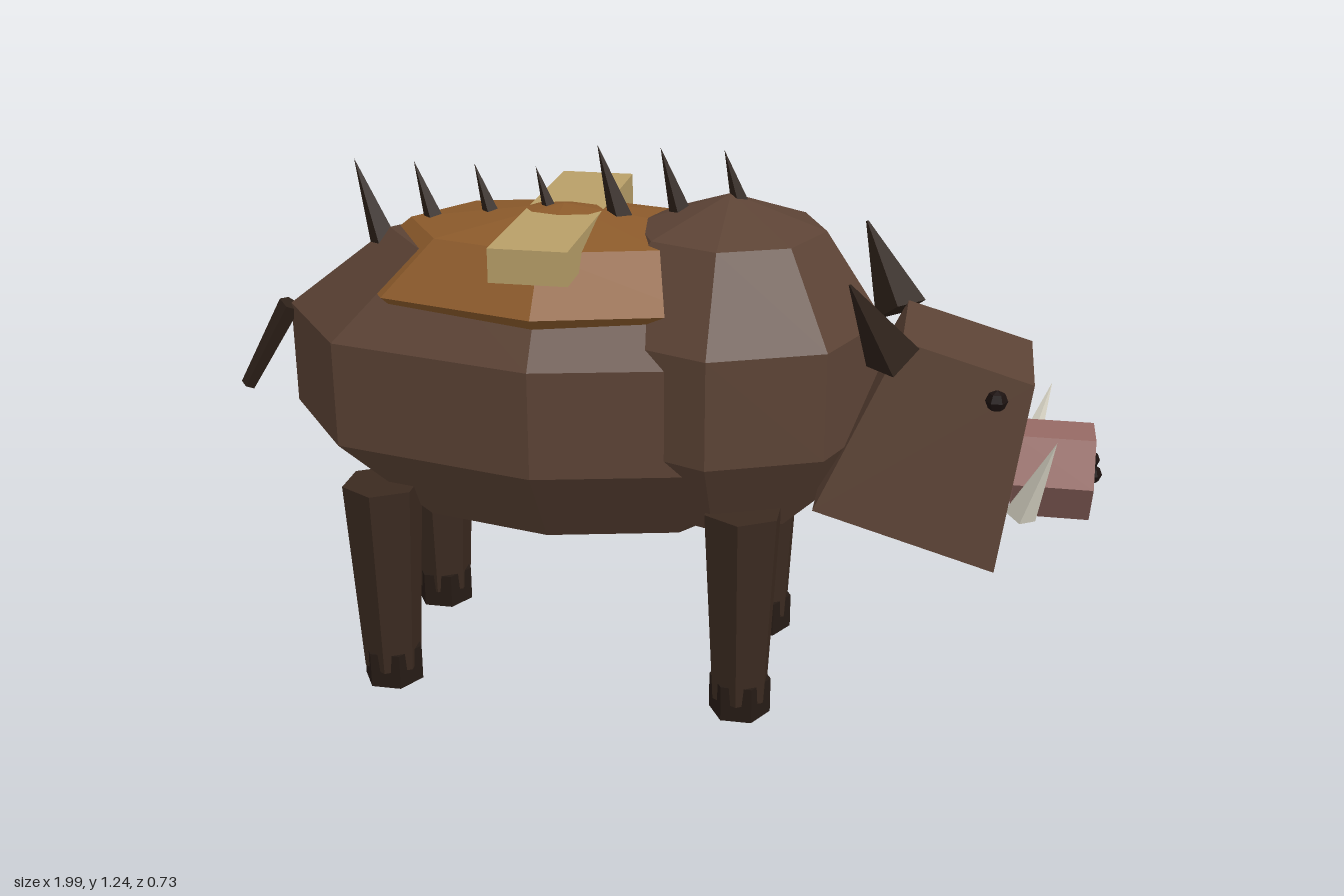
import * as THREE from 'three';

const mat = (name, color) => {
  const m = new THREE.MeshStandardMaterial({ color });
  m.name = name;
  return m;
};

export function createModel() {
  const group = new THREE.Group();
  const hide = mat('hide brown', 0x5c4335);
  const legBrown = mat('leg brown', 0x3b2a20);
  const bristleBrown = mat('bristle brown', 0x2e2119);
  const hoofBrown = mat('hoof brown', 0x261b15);
  const leather = mat('saddle leather', 0x8b5a2b);
  const cloth = mat('strap tan', 0xb89f68);
  const pink = mat('snout pink', 0x966a64);
  const ivory = mat('tusk ivory', 0xdcd8c8);
  const dark = mat('eye dark', 0x1c1210);

  // Adds a faceted mesh
  const add = (name, geometry, material, x, y, z) => {
    const flat = geometry.index ? geometry.toNonIndexed() : geometry;
    flat.computeVertexNormals();
    const mesh = new THREE.Mesh(flat, material);
    mesh.name = name;
    mesh.position.set(x, y, z);
    group.add(mesh);
    return mesh;
  };
  const ball = (rx, ry, rz, rows) => new THREE.SphereGeometry(1, 8, rows).scale(rx, ry, rz);

  // Tapered rod from a to b
  const rod = (name, material, a, b, ra, rb, sides) => {
    const from = new THREE.Vector3(...a), to = new THREE.Vector3(...b);
    const dir = to.clone().sub(from);
    const mid = from.add(to).multiplyScalar(0.5);
    const mesh = add(name, new THREE.CylinderGeometry(rb, ra, dir.length(), sides), material, mid.x, mid.y, mid.z);
    mesh.quaternion.setFromUnitVectors(new THREE.Vector3(0, 1, 0), dir.normalize());
    return mesh;
  };

  // Body and shoulder hump
  add('body', ball(0.69, 0.388, 0.384, 5), hide, -0.2, 0.722, 0);
  add('shoulders', ball(0.357, 0.39, 0.357, 5), hide, 0.17, 0.76, 0);

  // Saddle with a cross strap
  add('saddle', ball(0.5, 0.167, 0.33, 4), leather, -0.2, 0.944, 0);
  add('strap', new THREE.BoxGeometry(0.168, 0.073, 0.68), cloth, -0.198, 1.062, 0);

  // Wedge head, wider at the jaw
  const headShape = new THREE.CylinderGeometry(0.145 * Math.SQRT2, 0.205 * Math.SQRT2, 0.41, 4).rotateY(Math.PI / 4);
  add('head', headShape, hide, 0.64, 0.648, 0).rotation.z = -0.28;

  // Snout
  add('snout', new THREE.CylinderGeometry(0.108, 0.108, 0.17, 6).rotateZ(-Math.PI / 2), pink, 0.895, 0.56, 0);

  // Back bristles, leaning to the rear
  for (let i = 0; i < 7; i++) {
    const x = -0.615 + i * 0.139;
    const y = i < 4 ? 0.98 : 1.033;
    rod('bristle', bristleBrown, [x, y, 0], [x - 0.065, y + 0.21, 0], 0.036, 0, 4);
  }

  // Tail
  rod('tail', bristleBrown, [-0.858, 0.84, 0], [-0.98, 0.632, 0], 0.027, 0.018, 5);

  // Paired parts
  for (const s of [1, -1]) {
    rod('ear', bristleBrown, [0.54, 0.855, s * 0.165], [0.45, 1.035, s * 0.252], 0.06, 0.003, 4);
    rod('tusk', ivory, [0.83, 0.5, s * 0.118], [0.89, 0.695, s * 0.184], 0.036, 0, 5);
    add('eye', new THREE.SphereGeometry(0.024, 6, 4), dark, 0.76, 0.77, s * 0.157);
    add('nostril', new THREE.SphereGeometry(0.021, 6, 4), dark, 0.979, 0.571, s * 0.041);
    for (const x of [-0.585, 0.237]) {
      add('leg', new THREE.CylinderGeometry(0.091, 0.066, 0.46, 6), legBrown, x, 0.27, s * 0.208);
      add('hoof', new THREE.CylinderGeometry(0.07, 0.07, 0.085, 6).rotateY(Math.PI / 6), hoofBrown, x, 0.0425, s * 0.206);
    }
  }
  return group;
}
